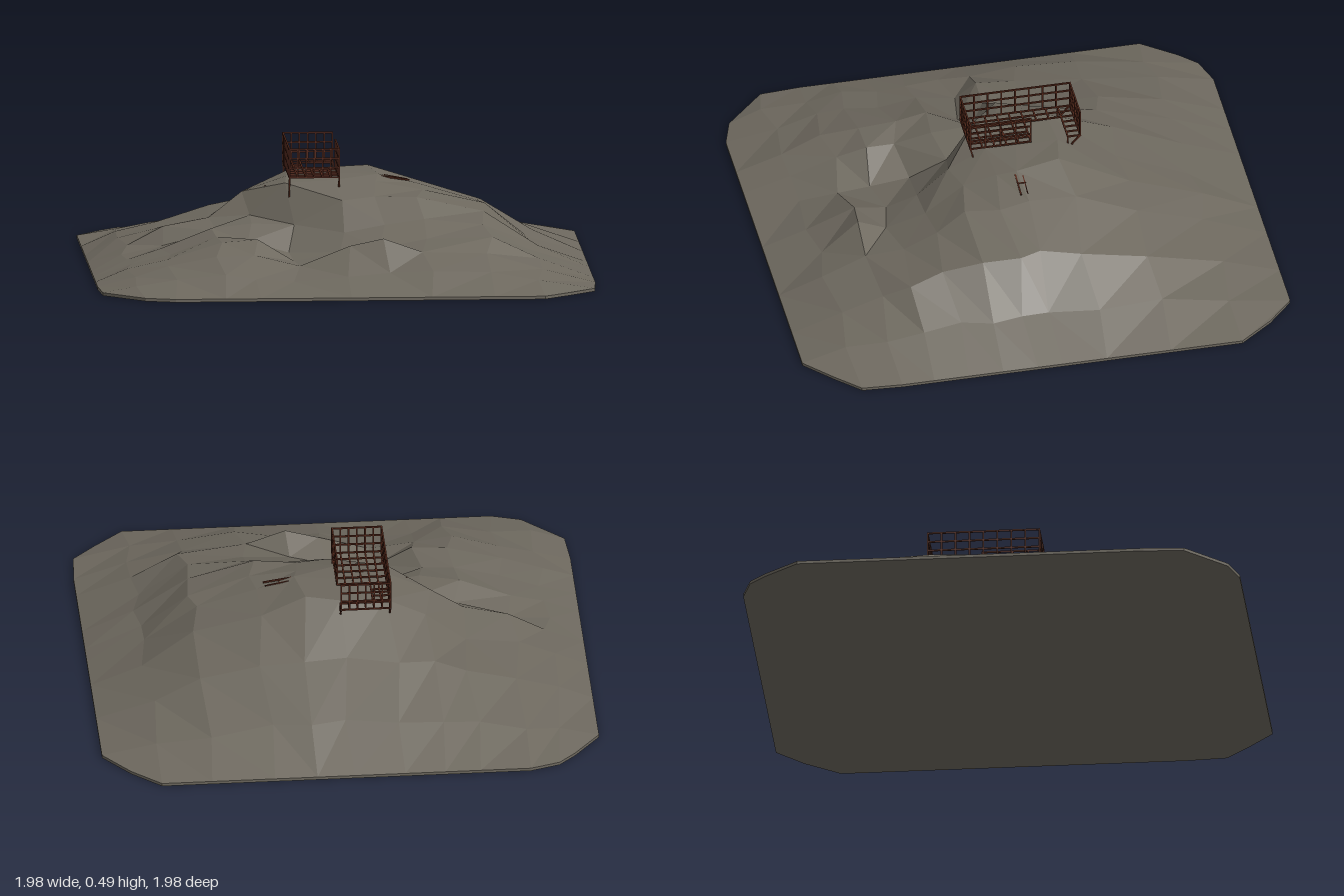
import * as THREE from 'three';
import { mergeGeometries } from 'three/addons/utils/BufferGeometryUtils.js';

const rock = new THREE.MeshStandardMaterial({ color: 0x6d685e });
const rust = new THREE.MeshStandardMaterial({ color: 0x572a1c });

// Height cross-sections of the hill: one row per z, one column per x; the rim is added by rule
const XS = [-0.99, -0.85, -0.7, -0.5, -0.36, -0.2, 0, 0.15, 0.32, 0.57, 0.77, 0.99];
const SECTIONS = [
  { z: -0.75, h: [0.04, 0.06, 0.09, 0.10, 0.11, 0.12, 0.12, 0.11, 0.08, 0.05] },
  { z: -0.46, h: [0.07, 0.11, 0.17, 0.20, 0.22, 0.235, 0.235, 0.22, 0.17, 0.09] },
  { z: -0.20, h: [0.08, 0.12, 0.16, 0.27, 0.35, 0.36, 0.37, 0.31, 0.23, 0.10] },
  { z: -0.02, h: [0.08, 0.155, 0.19, 0.29, 0.355, 0.36, 0.36, 0.32, 0.25, 0.10] },
  { z: 0.08, h: [0.06, 0.09, 0.15, 0.21, 0.34, 0.35, 0.34, 0.31, 0.25, 0.10] },
  { z: 0.22, h: [0.06, 0.10, 0.18, 0.20, 0.19, 0.29, 0.30, 0.30, 0.24, 0.10] },
  { z: 0.36, h: [0.06, 0.10, 0.165, 0.15, 0.10, 0.18, 0.21, 0.23, 0.21, 0.10] },
  { z: 0.50, h: [0.06, 0.10, 0.165, 0.175, 0.09, 0.12, 0.14, 0.17, 0.18, 0.09] },
  { z: 0.63, h: [0.05, 0.09, 0.13, 0.13, 0.09, 0.165, 0.195, 0.14, 0.13, 0.07] },
  { z: 0.80, h: [0.04, 0.06, 0.08, 0.06, 0.05, 0.07, 0.08, 0.09, 0.08, 0.05] },
];
const RIM = 0.012;

function createHill() {
  const rim = XS.map(() => RIM);
  const rows = [
    { z: -0.99, h: rim },
    ...SECTIONS.map(({ z, h }) => ({ z, h: [RIM, ...h, RIM] })),
    { z: 0.99, h: rim },
  ];
  const nx = XS.length, nz = rows.length;
  // Grid points, with the corners pulled in and the inner points shifted a little
  const grid = rows.map(({ z, h }, j) => XS.map((x, i) => {
    const edge = i === 0 || j === 0 || i === nx - 1 || j === nz - 1;
    const s = Math.min(1, 1.77 / (Math.abs(x) + Math.abs(z)));
    const wobble = edge ? 0 : 0.018;
    return new THREE.Vector3(
      x * s + wobble * Math.sin(i * 5.1 + j * 2.3), h[i], z * s + wobble * Math.sin(i * 2.7 + j * 4.9));
  }));

  const positions = [];
  const tri = (...pts) => pts.forEach((p) => positions.push(p.x, p.y, p.z));
  for (let j = 0; j < nz - 1; j++) {
    for (let i = 0; i < nx - 1; i++) {
      const a = grid[j][i], b = grid[j + 1][i], c = grid[j + 1][i + 1], d = grid[j][i + 1];
      // Fold each cell along its flatter diagonal
      if (Math.abs(a.y - c.y) < Math.abs(b.y - d.y)) { tri(a, b, c); tri(a, c, d); }
      else { tri(a, b, d); tri(b, c, d); }
    }
  }

  // Rim wall and flat underside
  const loop = [
    ...grid.map((r) => r[0]),
    ...grid[nz - 1].slice(1),
    ...grid.map((r) => r[nx - 1]).reverse().slice(1),
    ...grid[0].slice(1, -1).reverse(),
  ];
  const centre = new THREE.Vector3();
  loop.forEach((p, k) => {
    const q = loop[(k + 1) % loop.length];
    const p0 = p.clone().setY(0), q0 = q.clone().setY(0);
    tri(p, p0, q0);
    tri(p, q0, q);
    tri(centre, q0, p0);
  });

  const geometry = new THREE.BufferGeometry();
  geometry.setAttribute('position', new THREE.Float32BufferAttribute(positions, 3));
  geometry.computeVertexNormals();
  const hill = new THREE.Mesh(geometry, rock);
  hill.name = 'rockyHill';
  return hill;
}

// Square bar between two points
function bar(a, b, t = 0.006) {
  const from = new THREE.Vector3(...a), to = new THREE.Vector3(...b);
  const dir = to.clone().sub(from);
  const g = new THREE.BoxGeometry(t, t, dir.length() + t);
  g.applyQuaternion(new THREE.Quaternion().setFromUnitVectors(new THREE.Vector3(0, 0, 1), dir.clone().normalize()));
  const mid = from.add(to).multiplyScalar(0.5);
  return g.translate(mid.x, mid.y, mid.z);
}

// Lattice of bars spanned by two sides from a corner
function lattice(corner, u, v, nu, nv) {
  const at = (s, t) => corner.map((c, k) => c + u[k] * s + v[k] * t);
  const bars = [];
  for (let i = 0; i <= nu; i++) bars.push(bar(at(i / nu, 0), at(i / nu, 1)));
  for (let j = 0; j <= nv; j++) bars.push(bar(at(0, j / nv), at(1, j / nv)));
  return bars;
}

function metalwork(name, bars) {
  const mesh = new THREE.Mesh(mergeGeometries(bars), rust);
  mesh.name = name;
  return mesh;
}

function createLookout() {
  const group = new THREE.Group();
  group.name = 'lookoutPlatform';
  const L = -0.197, R = 0, F = 0.145, M = 0.1, B = -0.3, Y = 0.37, H = 0.113;
  const up = [0, H, 0];

  // Hook-shaped grated floor
  group.add(metalwork('gratedFloor', [
    ...lattice([L, Y, -M], [R - L, 0, 0], [0, 0, F + M], 6, 5),
    ...lattice([L, Y, B], [0.066, 0, 0], [0, 0, -M - B], 2, 4),
    ...lattice([L, Y, B], [R - L, 0, 0], [0, 0, 0.05], 6, 1),
  ]));

  // Railings round the outside
  group.add(metalwork('railings', [
    ...lattice([L, Y, B], [0, 0, F - B], up, 8, 3),
    ...lattice([L, Y, F], [R - L, 0, 0], up, 6, 3),
    ...lattice([R, Y, -M], [0, 0, F + M], up, 4, 3),
    ...lattice([L, Y, B], [R - L, 0, 0], up, 6, 3),
  ]));

  // Legs and slanted braces down to the rock
  const legs = [];
  for (const x of [L, R]) {
    legs.push(bar([x, Y, B], [x, 0.33, B + 0.035]), bar([x, Y, B + 0.05], [x, 0.31, B + 0.05]));
    legs.push(bar([x, Y, F], [x, 0.29, F - 0.02]));
  }
  group.add(metalwork('supportLegs', legs));
  return group;
}

export function createModel() {
  const model = new THREE.Group();
  model.name = 'hillWithLookout';
  model.add(createHill(), createLookout());

  // Loose metal pieces lying on the slopes
  model.add(metalwork('fallenRail', [
    bar([0.17, 0.352, 0], [0.285, 0.335, 0]),
    bar([0.19, 0.352, -0.028], [0.28, 0.335, -0.028], 0.004),
    bar([0.225, 0.345, -0.03], [0.225, 0.345, 0], 0.004),
  ]));
  model.add(metalwork('bentBracket', [
    bar([-0.29, 0.28, 0.02], [-0.29, 0.318, 0.02], 0.003),
    bar([-0.29, 0.318, 0.02], [-0.26, 0.32, 0.02], 0.003),
  ]));
  return model;
}
